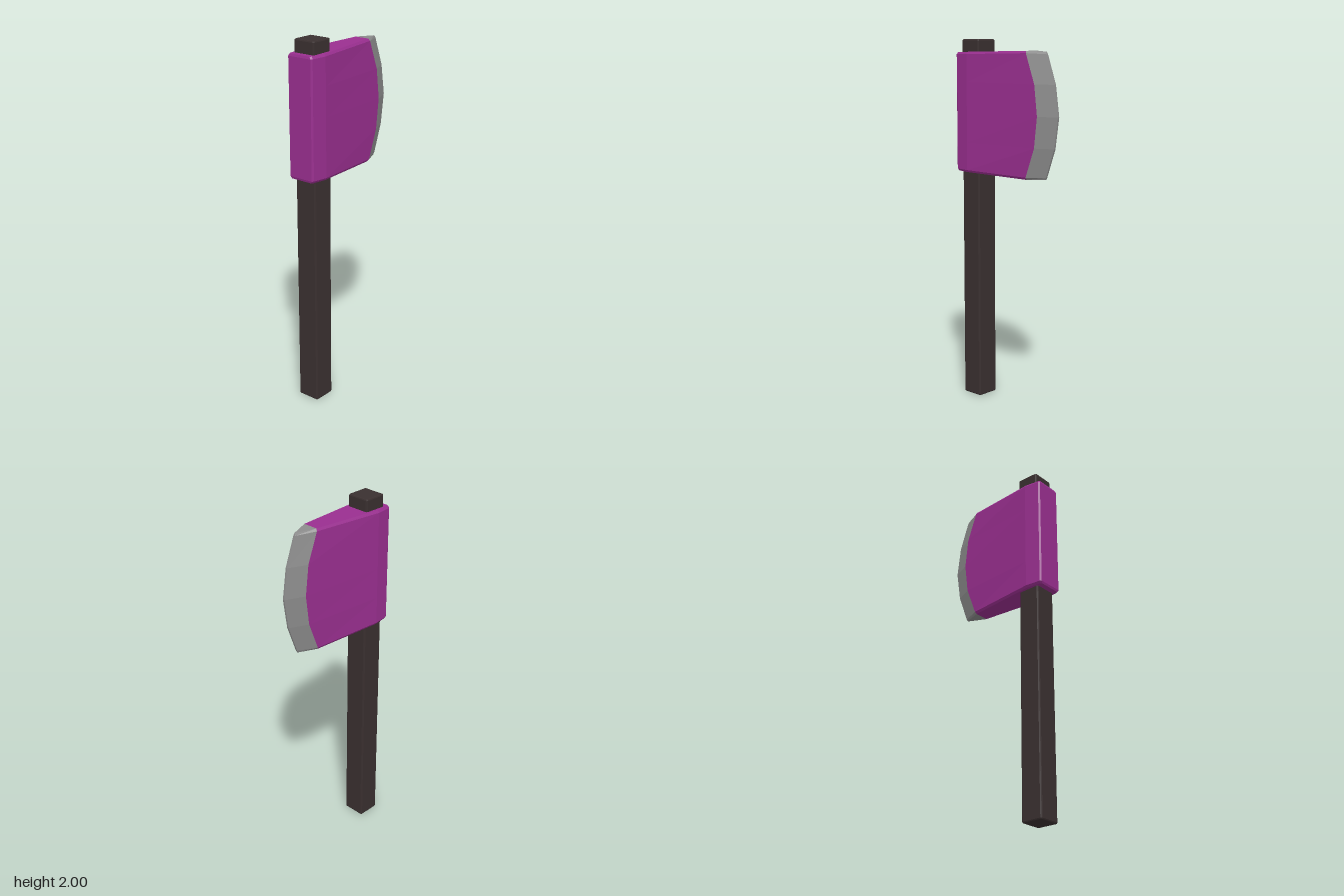
import * as THREE from 'three';
import { RoundedBoxGeometry } from 'three/addons/geometries/RoundedBoxGeometry.js';

// Rows from bottom to top: [cheek front x, cutting edge x, height at back, at cheek front, at edge, thickness inset]
const half = [
  [0.235, 0.34, 1.61, 1.605, 1.605, 0],
  [0.215, 0.316, 1.77, 1.77, 1.77, 0],
  [0.155, 0.26, 1.918, 1.928, 1.923, 0],
  [0.15, 0.254, 1.93, 1.94, 1.936, 0.008],
];
const MID = 1.605;
const mirrorRow = ([c, e, yb, yc, ye, i]) => [c, e, 2 * MID - yb, 2 * MID - yc, 2 * MID - ye, i];
const rows = [...half.slice(1).reverse().map(mirrorRow), ...half];

// Closed solid from stacked rings; each ring is one side's [x, y, z] points, mirrored in z
function loft(sections) {
  const rings = sections.map(s => [...s, ...s.map(([x, y, z]) => [x, y, -z]).reverse()]);
  const n = rings[0].length;
  const index = [];
  for (let r = 0; r < rings.length - 1; r++) {
    for (let j = 0; j < n; j++) {
      const a = r * n + j, b = r * n + (j + 1) % n;
      index.push(a, b, b + n, a, b + n, a + n);
    }
  }
  // End caps, stitched across the thickness
  const top = (rings.length - 1) * n;
  for (let j = 0; j < n / 2 - 1; j++) {
    const a = j, b = j + 1, c = n - 2 - j, d = n - 1 - j;
    index.push(top + a, top + b, top + c, top + a, top + c, top + d);
    index.push(c, b, a, d, c, a);
  }
  const geometry = new THREE.BufferGeometry();
  geometry.setAttribute('position', new THREE.Float32BufferAttribute(rings.flat(2), 3));
  geometry.setIndex(index);
  const flat = geometry.toNonIndexed();
  flat.computeVertexNormals();
  return flat;
}

function addPart(group, name, geometry, color) {
  const material = new THREE.MeshStandardMaterial({ color, flatShading: true });
  const mesh = new THREE.Mesh(geometry, material);
  mesh.name = name;
  group.add(mesh);
  return mesh;
}

export function createModel() {
  const group = new THREE.Group();
  group.name = 'axe';

  // Square handle running through the head
  const handle = addPart(group, 'handle', new RoundedBoxGeometry(0.126, 2, 0.128, 1, 0.008), 0x3a3030);
  handle.position.set(-0.2475, 1, 0);

  // Head: widest around the handle, tapering to the blade
  const head = rows.map(([cx, , yb, yc, , inset]) => {
    const back = -0.345 + inset / 2;
    return [[back, 0.072], [back + 0.009, 0.079], [-0.25, 0.089], [cx, 0.05]].map(([x, z]) =>
      [x, THREE.MathUtils.mapLinear(x, back, cx, yb, yc), z - inset]);
  });
  addPart(group, 'head', loft(head), 0x9a2f90);

  // Curved wedge blade
  const blade = rows.map(([cx, ex, , yc, ye, inset]) =>
    [[cx, yc, 0.05 - inset], [ex, ye, inset ? 0.002 : 0.005]]);
  addPart(group, 'blade', loft(blade), 0x8c8c8c);

  return group;
}
